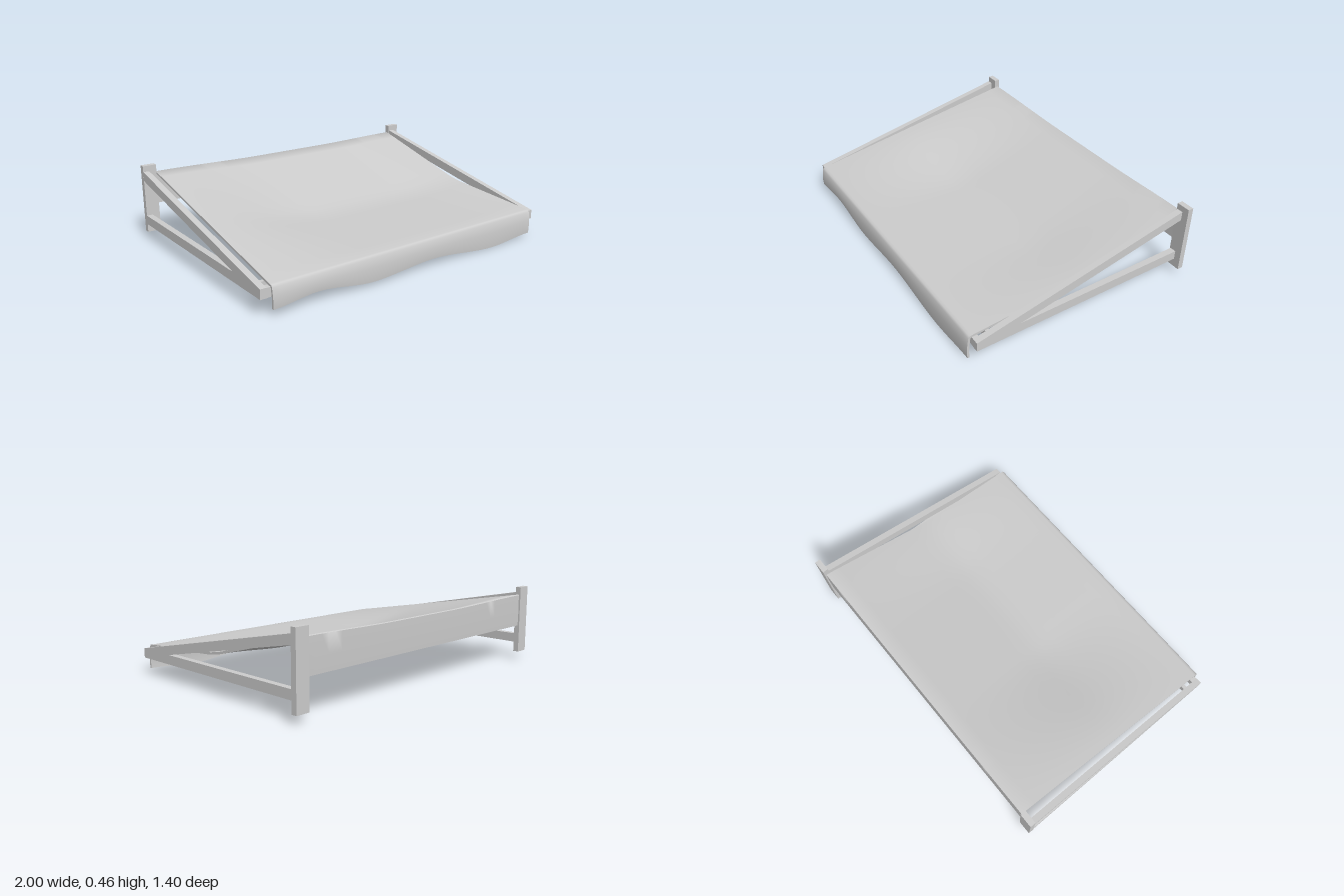
import * as THREE from 'three';
import { toCreasedNormals } from 'three/addons/utils/BufferGeometryUtils.js';

const material = new THREE.MeshStandardMaterial({ color: 0xcccccc });
const lerp = THREE.MathUtils.lerp;

function box(name, x0, x1, y0, y1, z0, z1) {
  const mesh = new THREE.Mesh(new THREE.BoxGeometry(x1 - x0, y1 - y0, z1 - z0), material);
  mesh.position.set((x0 + x1) / 2, (y0 + y1) / 2, (z0 + z1) / 2);
  mesh.name = name;
  return mesh;
}

// Smooth interpolation through a few [x, value] points
function along(points, x) {
  if (x <= points[0][0]) return points[0][1];
  for (let i = 1; i < points.length; i++) {
    const [x0, v0] = points[i - 1], [x1, v1] = points[i];
    if (x <= x1) return lerp(v0, v1, THREE.MathUtils.smoothstep(x, x0, x1));
  }
  return points[points.length - 1][1];
}

const HEM = [[-0.945, 0.042], [-0.68, 0.066], [-0.31, 0.022], [0.1, 0.047], [0.6, 0.003], [0.91, 0.023]];
const SAG = [[-0.94, 0], [-0.2, 0.085], [0.45, 0.09], [0.92, 0.065]];
const BACK_TOP = [[-0.92, 0.418], [-0.2, 0.405], [0.3, 0.405], [0.92, 0.415]];

// Outer line of the cloth at one x, as [z, y]: back flap, sloping top, front valance
function clothLine(x) {
  const top = along(BACK_TOP, x), sag = along(SAG, x), hem = along(HEM, x);
  const line = [[-0.69, 0.22], [-0.692, 0.31], [-0.69, top - 0.004], [-0.684, top]];
  for (let k = 1; k <= 15; k++) {
    const t = k / 16, z = lerp(-0.684, 0.665, t);
    const tent = z < 0.04 ? (z + 0.684) / 0.724 : (0.665 - z) / 0.625;
    line.push([z, lerp(top, 0.17, t) - sag * tent]);
  }
  line.push([0.668, 0.17], [0.682, 0.167], [0.69, 0.155]);
  line.push([0.697, lerp(0.155, hem, 0.4)], [0.699, lerp(0.155, hem, 0.75)], [0.696, hem]);
  return line;
}

// Cloth with thickness: one closed cross-section per column, joined in loops
function clothGeometry() {
  const columns = 40, thick = 0.013, positions = [], index = [];
  let n = 0;
  for (let i = 0; i <= columns; i++) {
    const u = i / columns;
    const outer = clothLine(lerp(-0.94, 0.915, u));
    n = outer.length;
    const inner = outer.map(([z, y], k) => {
      const a = outer[Math.max(k - 1, 0)], b = outer[Math.min(k + 1, n - 1)];
      const dz = b[0] - a[0], dy = b[1] - a[1], len = Math.hypot(dz, dy);
      return [z + (dy / len) * thick, y - (dz / len) * thick];
    });
    for (const [z, y] of [...outer, ...inner.reverse()]) {
      const t = (z + 0.69) / 1.38;
      positions.push(lerp(lerp(-0.915, -0.945, t), lerp(0.918, 0.91, t), u), y, z);
    }
  }
  const m = 2 * n;
  const quad = (a, b, c, d) => index.push(a, b, c, a, c, d);
  for (let i = 0; i < columns; i++) {
    for (let j = 0; j < m; j++) {
      const k = (j + 1) % m;
      quad(i * m + j, i * m + k, (i + 1) * m + k, (i + 1) * m + j);
    }
  }
  // End edges
  const last = columns * m;
  for (let k = 0; k < n - 1; k++) {
    quad(last + k, last + k + 1, last + m - 2 - k, last + m - 1 - k);
    quad(m - 1 - k, m - 2 - k, k + 1, k);
  }
  const geometry = new THREE.BufferGeometry();
  geometry.setAttribute('position', new THREE.Float32BufferAttribute(positions, 3));
  geometry.setIndex(index);
  return toCreasedNormals(geometry, 0.9);
}

// Sloping arm, cut upright at both ends
function slopingArm(name, x0, x1) {
  const shape = new THREE.Shape([
    new THREE.Vector2(0.665, 0.375), new THREE.Vector2(0.665, 0.43),
    new THREE.Vector2(-0.67, 0.155), new THREE.Vector2(-0.67, 0.102),
  ]);
  const geometry = new THREE.ExtrudeGeometry(shape, { depth: x1 - x0, bevelEnabled: false });
  geometry.rotateY(Math.PI / 2); // shape x becomes -z, depth becomes x
  const mesh = new THREE.Mesh(geometry, material);
  mesh.position.x = x0;
  mesh.name = name;
  return mesh;
}

export function createModel() {
  const model = new THREE.Group();
  model.name = 'awning';

  // Wall posts and side arms
  const sides = [
    { side: 'right', post: [-1, -0.917], arm: [-1, -0.963] },
    { side: 'left', post: [0.917, 1], arm: [0.923, 0.96] },
  ];
  for (const { side, post, arm } of sides) {
    const bracket = new THREE.Group();
    bracket.name = side + 'Bracket';
    bracket.add(
      box('wallPost', ...post, 0.05, 0.465, -0.7, -0.666),
      box('lowerArm', ...arm, 0.1, 0.155, -0.666, 0.67),
      slopingArm('upperArm', ...arm),
    );
    model.add(bracket);
  }

  // Rails joining the arms at the front
  model.add(
    box('frontRail', -0.963, 0.923, 0.1, 0.152, 0.633, 0.668),
    box('innerRail', -0.963, 0.923, 0.105, 0.15, 0.565, 0.587),
  );

  const cloth = new THREE.Mesh(clothGeometry(), material);
  cloth.name = 'cloth';
  model.add(cloth);
  return model;
}
